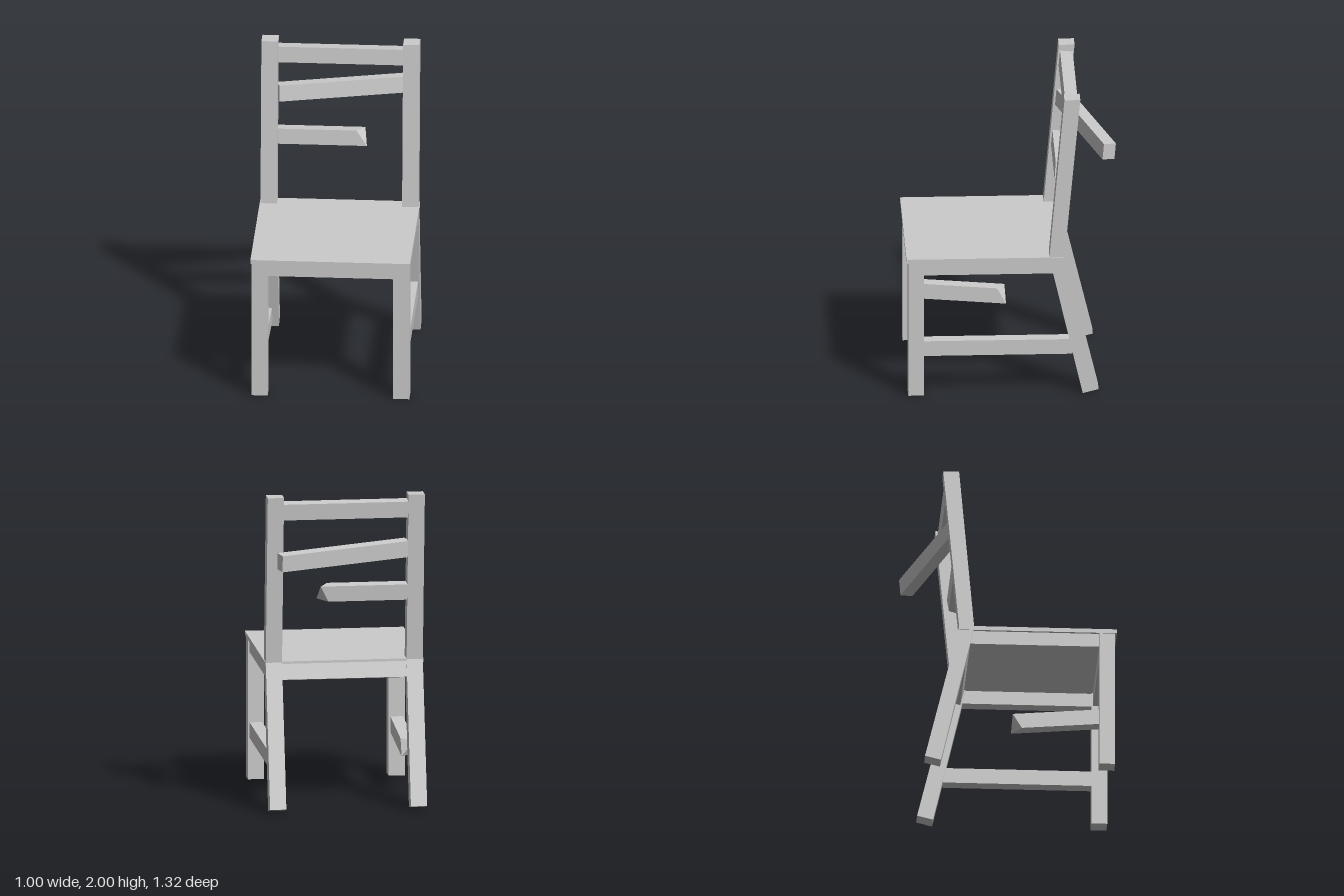
import * as THREE from 'three';

const material = new THREE.MeshStandardMaterial({ color: 0xcccccc, flatShading: true });

export function createModel() {
  const chair = new THREE.Group();
  chair.name = 'brokenChair';

  function add(name, geometry, position, parent = chair) {
    const mesh = new THREE.Mesh(geometry, material);
    mesh.name = name;
    mesh.position.set(...position);
    parent.add(mesh);
    return mesh;
  }
  const box = (name, size, position, parent) =>
    add(name, new THREE.BoxGeometry(...size), position, parent);

  // Bar running along +x from its origin
  function bar(length, height, depth) {
    return new THREE.BoxGeometry(length, height, depth).translate(length / 2, 0, 0);
  }

  // Bar whose far end is snapped off: each end corner stops at its own length
  function brokenBar(length, height, depth) {
    const geometry = bar(length, height, depth);
    const p = geometry.attributes.position;
    for (let i = 0; i < p.count; i++) {
      if (p.getX(i) < length / 2) continue;
      const top = p.getY(i) > 0, front = p.getZ(i) > 0;
      const cut = top ? (front ? 0.065 : 0.015) : (front ? 0 : 0.065);
      p.setX(i, length - cut);
    }
    const flat = geometry.toNonIndexed();
    flat.computeVertexNormals();
    return flat;
  }

  // Seat board
  box('seat', [1.005, 0.027, 0.99], [0, 0.917, 0.163]);

  // Bent rear post, profile as (z, y), extruded across x
  const profile = new THREE.Shape([
    [-0.24, 0.925], [-0.335, 2], [-0.435, 2], [-0.335, 0.925], [-0.55, 0.025], [-0.45, 0],
  ].map(([z, y]) => new THREE.Vector2(-z, y)));
  const postGeometry = new THREE.ExtrudeGeometry(profile, { depth: 0.103, bevelEnabled: false });
  postGeometry.translate(0, 0, -0.0515).rotateY(Math.PI / 2);

  // Legs and side aprons, mirrored
  for (const [side, s] of [['left', 1], ['right', -1]]) {
    box(side + 'FrontLeg', [0.103, 0.905, 0.1], [s * 0.446, 0.4525, 0.597]);
    add(side + 'RearPost', postGeometry, [s * 0.446, 0, 0]);
    box(side + 'Apron', [0.08, 0.09, 0.82], [s * 0.446, 0.86, 0.147]);
  }

  // Front apron, and rear apron leaning with the rear legs
  box('frontApron', [0.8, 0.09, 0.08], [0, 0.86, 0.597]);
  box('rearApron', [0.8, 0.1, 0.08], [0, 0.857, -0.305]).rotation.x = 0.233;

  // Whole left stretcher and snapped, sagging right stretcher
  box('leftStretcher', [0.08, 0.1, 0.94], [0.446, 0.315, 0.085]);
  const broken = add('brokenRightStretcher', brokenBar(0.56, 0.1, 0.08), [-0.446, 0.33, 0.55]);
  broken.rotation.set(0, Math.PI / 2, -0.082);

  // Backrest slats, in a frame leaning with the posts
  const back = new THREE.Group();
  back.name = 'backrestSlats';
  back.position.set(0, 0.93, -0.288);
  back.rotation.x = -0.0888;
  chair.add(back);
  add('topSlat', bar(0.79, 0.103, 0.08), [-0.395, 0.98, -0.004], back);
  add('looseMiddleSlat', bar(0.88, 0.105, 0.08), [-0.395, 0.72, -0.002], back).rotation.y = 0.307;
  add('brokenLowerSlat', brokenBar(0.565, 0.1, 0.08), [-0.395, 0.439, -0.004], back);

  return chair;
}
